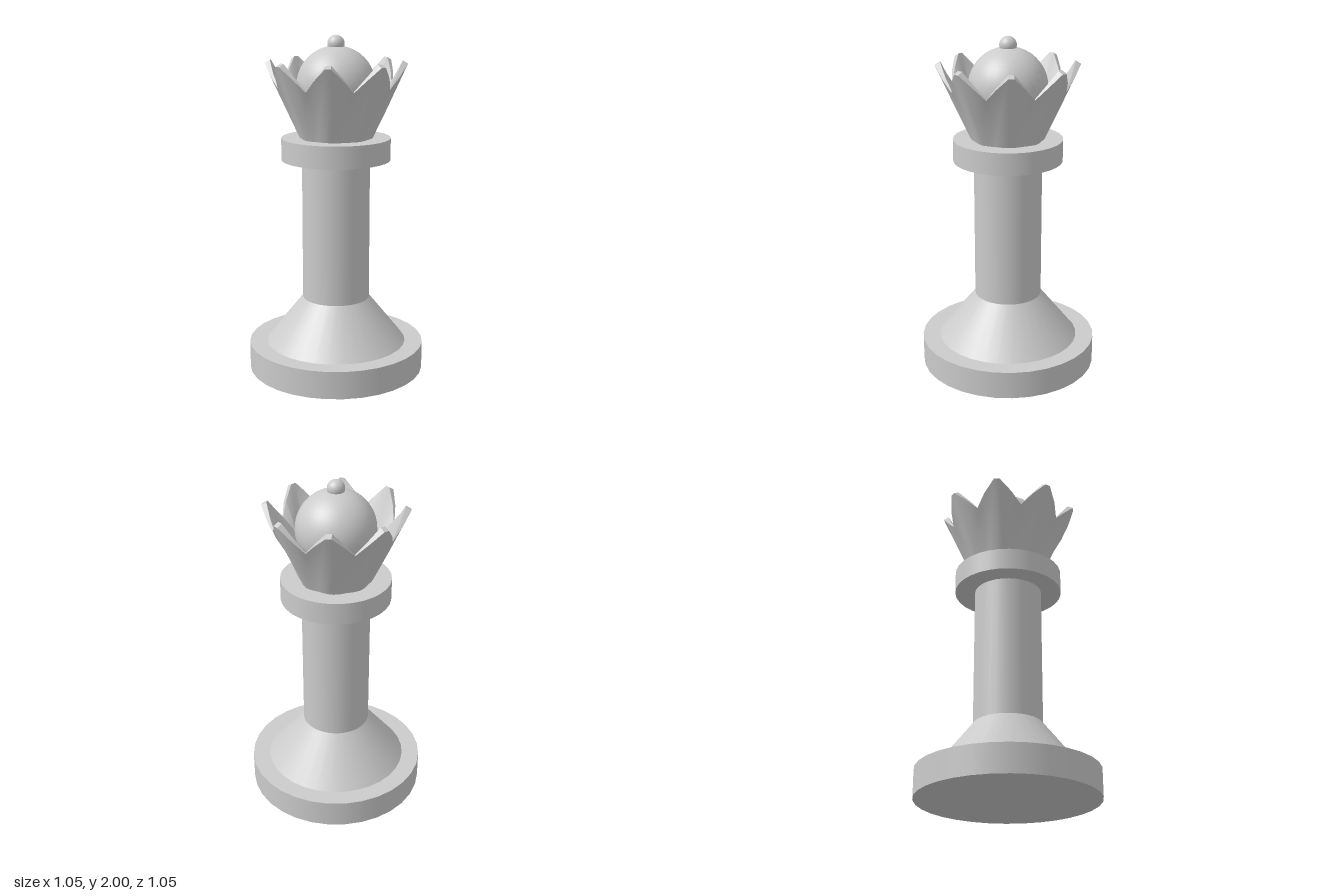
import * as THREE from 'three';
import { toCreasedNormals } from 'three/addons/utils/BufferGeometryUtils.js';

const SIDES = 32;
const PETALS = 8;
const material = new THREE.MeshStandardMaterial({ color: 0xcccccc });

// Round section between two heights
function drum(name, rTop, rBottom, y0, y1) {
  const mesh = new THREE.Mesh(new THREE.CylinderGeometry(rTop, rBottom, y1 - y0, SIDES), material);
  mesh.name = name;
  mesh.position.y = (y0 + y1) / 2;
  return mesh;
}

function ball(name, radius, y) {
  const mesh = new THREE.Mesh(new THREE.SphereGeometry(radius, SIDES, 20), material);
  mesh.name = name;
  mesh.position.y = y;
  return mesh;
}

// Flared crown: each row gives [radius, height] at a petal's middle and at the notch beside it
function crownGeometry() {
  const rows = [
    { mid: [0.215, 1.41], notch: [0.205, 1.41] }, // outer foot
    { mid: [0.295, 1.58], notch: [0.262, 1.57] }, // outer waist
    { mid: [0.412, 1.84], notch: [0.345, 1.705] }, // outer rim
    { mid: [0.382, 1.857], notch: [0.34, 1.71] }, // inner rim
    { mid: [0.325, 1.71], notch: [0.245, 1.62] }, // inner wall
    { mid: [0.19, 1.45], notch: [0.18, 1.45] }, // inner foot
  ];
  const steps = [-1, -0.55, -0.1, 0.1, 0.55];
  const half = Math.PI / PETALS;
  const columns = PETALS * steps.length;
  const positions = [];
  const index = [];
  for (const { mid, notch } of rows) {
    for (let p = 0; p < PETALS; p++) {
      for (const s of steps) {
        const t = Math.max(0, (Math.abs(s) - 0.1) / 0.9);
        const r = THREE.MathUtils.lerp(mid[0], notch[0], t);
        const y = THREE.MathUtils.lerp(mid[1], notch[1], t);
        const a = (2 * p + 1 + s) * half;
        positions.push(r * Math.sin(a), y, r * Math.cos(a));
      }
    }
  }
  for (let j = 0; j < rows.length - 1; j++) {
    for (let i = 0; i < columns; i++) {
      const a = j * columns + i;
      const b = j * columns + ((i + 1) % columns);
      index.push(a, b, b + columns, a, b + columns, a + columns);
    }
  }
  const geometry = new THREE.BufferGeometry();
  geometry.setAttribute('position', new THREE.Float32BufferAttribute(positions, 3));
  geometry.setIndex(index);
  return toCreasedNormals(geometry, 0.75);
}

export function createModel() {
  const group = new THREE.Group();
  group.name = 'chessQueen';

  // Pedestal and column
  group.add(drum('base', 0.525, 0.525, 0, 0.165));
  group.add(drum('skirt', 0.2, 0.42, 0.165, 0.44));
  group.add(drum('shaft', 0.2, 0.2, 0.44, 1.28));
  group.add(drum('collar', 0.32, 0.32, 1.28, 1.41));

  // Petalled crown around the domed head
  const crown = new THREE.Mesh(crownGeometry(), material);
  crown.name = 'crown';
  group.add(crown);
  group.add(ball('head', 0.23, 1.71));
  group.add(ball('finial', 0.05, 1.95));

  return group;
}
